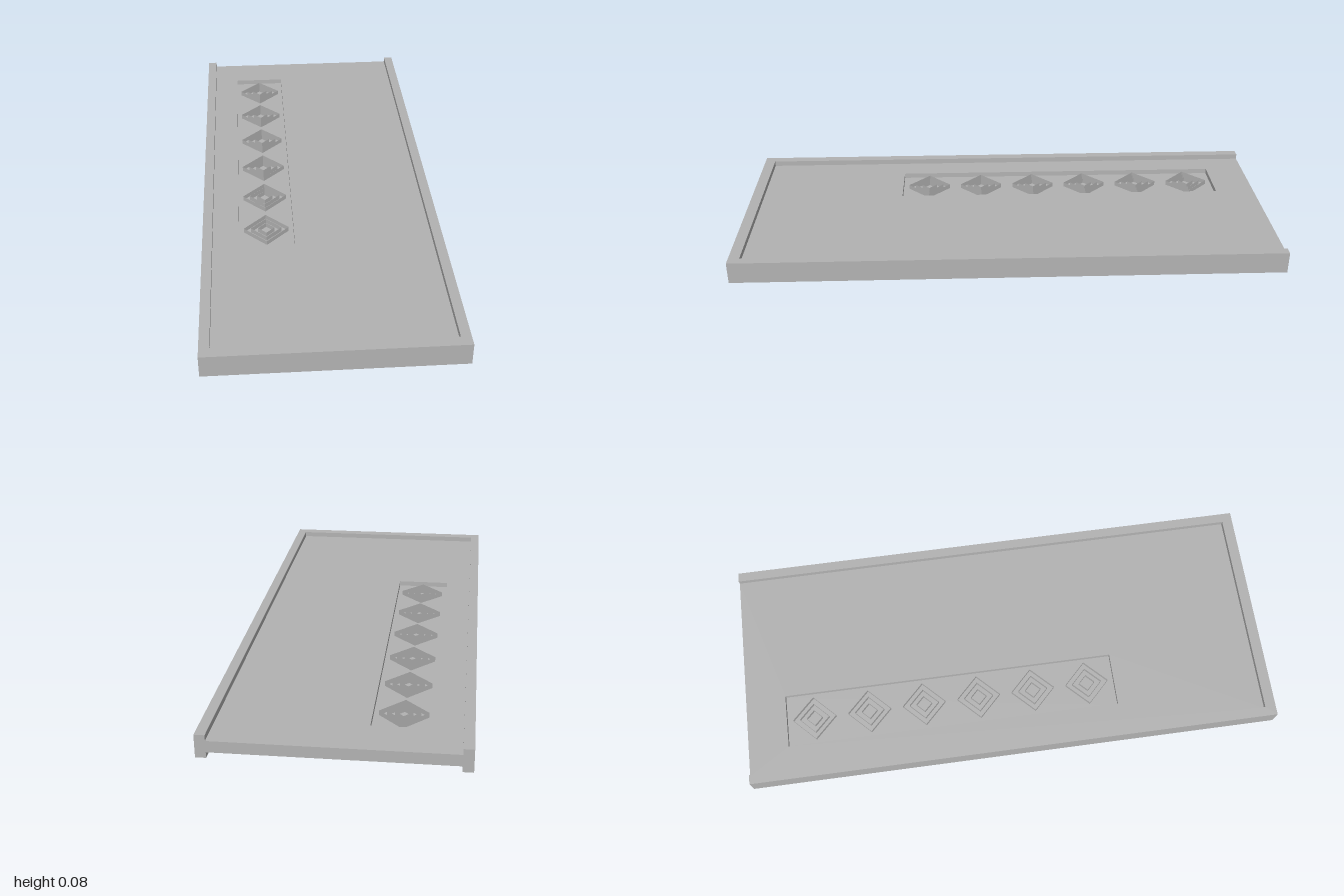
import * as THREE from 'three';

const grey = new THREE.MeshStandardMaterial({ color: 0xb2b2b2, flatShading: true, side: THREE.DoubleSide });
grey.name = 'plain grey';

// Closed outline from [x, z] corners, drawn so that it lies flat after turning
function outline(points, Type = THREE.Shape) {
  return new Type(points.map(([x, z]) => new THREE.Vector2(x, -z)));
}

const rect = (x0, x1, z0, z1) => [[x0, z1], [x1, z1], [x1, z0], [x0, z0]];

// Flat slab between two heights, with optional hole
function slab(name, points, y0, y1, hole) {
  const shape = outline(points);
  if (hole) shape.holes.push(outline(hole, THREE.Path));
  const geo = new THREE.ExtrudeGeometry(shape, { depth: y1 - y0, bevelEnabled: false });
  geo.rotateX(-Math.PI / 2).translate(0, y0, 0);
  const mesh = new THREE.Mesh(geo, grey);
  mesh.name = name;
  return mesh;
}

export function createModel() {
  const model = new THREE.Group();
  model.name = 'slottedPanel';

  const W = 0.43, inner = 0.395, front = 0.96;
  const slot = { x0: -0.3, x1: -0.1, z0: -0.85, z1: 0.41 };
  const hole = rect(slot.x0, slot.x1, slot.z0, slot.z1);

  // Raised border on three sides, open at the back
  model.add(slab('border', [
    [-W, 1], [W, 1], [W, -1], [inner, -1], [inner, front],
    [-inner, front], [-inner, -1], [-W, -1],
  ], 0, 0.08));

  // Main panel and the slightly thicker underside behind the front section
  model.add(slab('panel', rect(-inner, inner, -1, front), 0.024, 0.06, hole));
  model.add(slab('undersidePlate', rect(-inner, inner, -1, 0.54), 0.02, 0.024, hole));

  // Thin floor halfway down the slot
  model.add(slab('slotFloor', hole, 0.039, 0.041));

  // Six motifs of nested diamond walls, standing out on both sides of the floor
  const count = 6, pitch = (slot.z1 - slot.z0) / count;
  for (let i = 0; i < count; i++) {
    const motif = new THREE.Group();
    motif.name = `diamondMotif${i + 1}`;
    motif.position.set((slot.x0 + slot.x1) / 2, 0.04, slot.z0 + pitch * (i + 0.5));
    for (const r of [0.082, 0.056, 0.03]) {
      const ring = new THREE.Mesh(new THREE.CylinderGeometry(r, r, 0.036, 4, 1, true), grey);
      ring.name = 'diamondWall';
      motif.add(ring);
    }
    model.add(motif);
  }
  return model;
}
